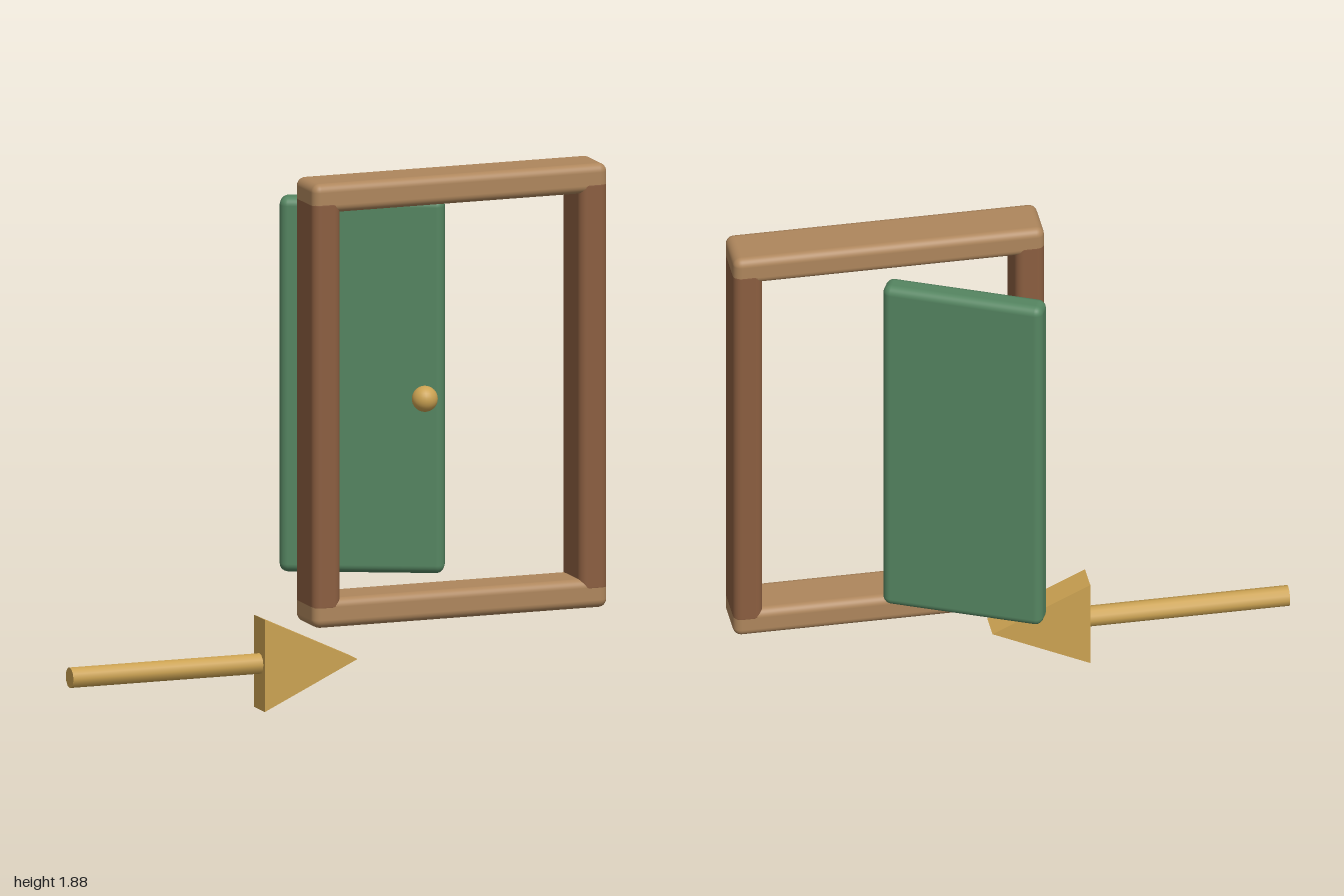
import * as THREE from 'three';
import { RoundedBoxGeometry } from 'three/addons/geometries/RoundedBoxGeometry.js';

function material(name, color) {
  const m = new THREE.MeshStandardMaterial({ color });
  m.name = name;
  return m;
}

export function createModel() {
  const group = new THREE.Group();
  const lightWood = material('light wood', 0xae865c);
  const darkWood = material('dark wood', 0x8b5e40);
  const green = material('door green', 0x558561);
  const gold = material('gold', 0xcba252);

  const add = (name, geometry, mat, x, y, z) => {
    const mesh = new THREE.Mesh(geometry, mat);
    mesh.name = name;
    mesh.position.set(x, y, z);
    group.add(mesh);
    return mesh;
  };

  const planeZ = 0.155; // shared depth of frame, knob and arrow
  const midX = 0.442;

  // Frame: two rails and two jambs, the jambs running into the rails
  for (const [name, y] of [['bottomRail', 0.343], ['topRail', 1.828]]) {
    add(name, new RoundedBoxGeometry(1.112, 0.105, 0.19, 4, 0.03), lightWood, midX, y, planeZ);
  }
  for (const [name, side] of [['rightJamb', -1], ['leftJamb', 1]]) {
    add(name, new RoundedBoxGeometry(0.105, 1.494, 0.191, 4, 0.03), darkWood,
      midX + side * 0.5035, 1.0855, planeZ);
  }

  // Door panel swung open behind the frame
  const door = add('door', new RoundedBoxGeometry(0.58, 1.342, 0.09, 4, 0.03), green, 0.203, 1.086, -0.095);
  door.rotation.y = -THREE.MathUtils.degToRad(25);

  // Knob, standing in the plane of the frame
  add('knob', new THREE.SphereGeometry(0.046, 24, 16), gold, 0.341, 1.068, planeZ);

  // Arrow pointing to the doorway
  const shaft = add('arrowShaft', new THREE.CylinderGeometry(0.037, 0.037, 0.73, 12), gold, -0.635, 0.165, planeZ);
  shaft.rotation.z = Math.PI / 2;

  const head = new THREE.Shape([
    new THREE.Vector2(-0.283, 0),
    new THREE.Vector2(0.067, 0.165),
    new THREE.Vector2(-0.283, 0.33),
  ]);
  const headGeometry = new THREE.ExtrudeGeometry(head, { depth: 0.102, bevelEnabled: false });
  headGeometry.translate(0, 0, -0.051);
  add('arrowHead', headGeometry, gold, 0, 0, planeZ);

  return group;
}
